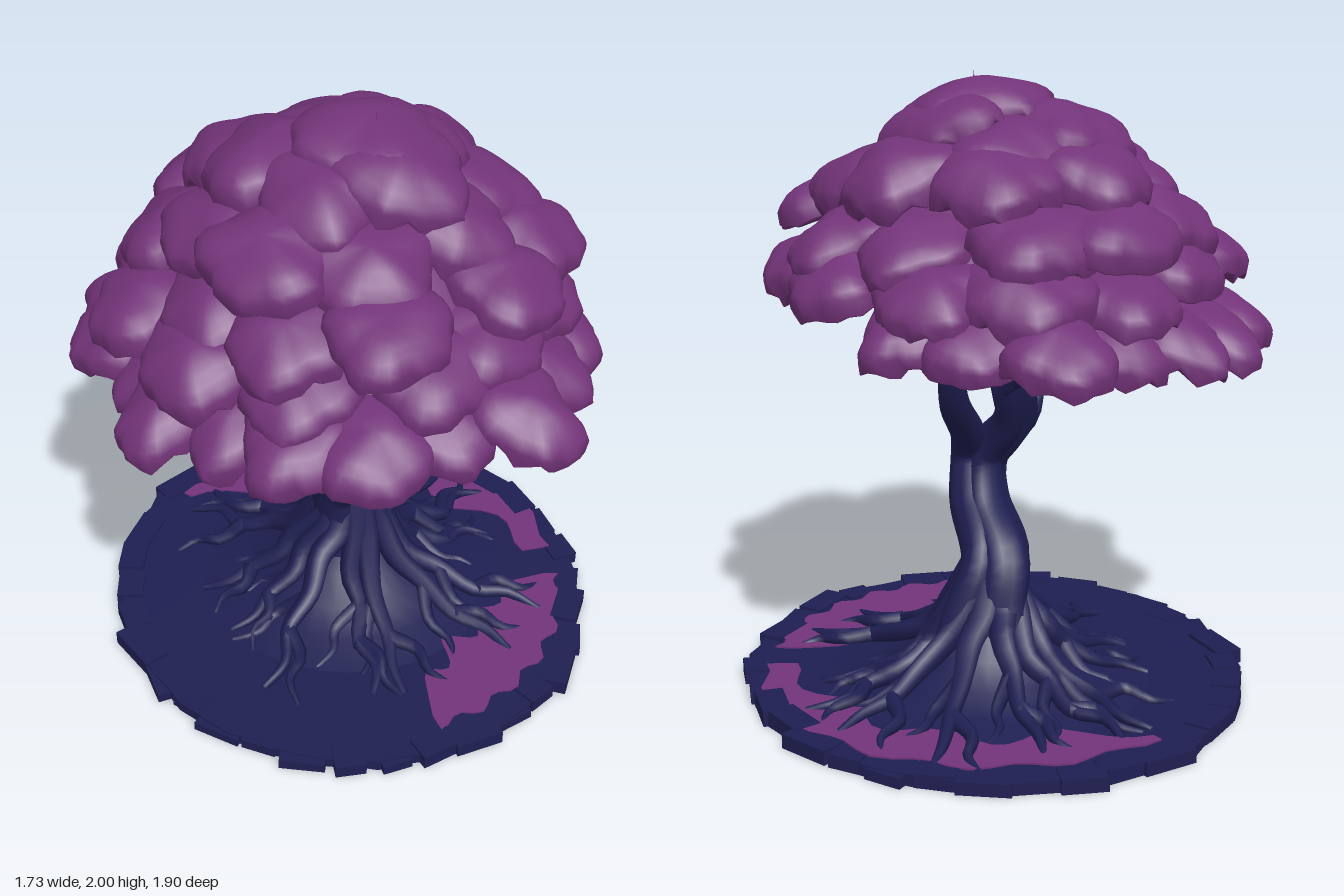
import * as THREE from 'three';
import { mergeVertices } from 'three/addons/utils/BufferGeometryUtils.js';

const bark = new THREE.MeshStandardMaterial({ color: 0x1f1f52, side: THREE.DoubleSide });
bark.name = 'navy bark';
const leaf = new THREE.MeshStandardMaterial({ color: 0x733479, side: THREE.DoubleSide });
leaf.name = 'purple foliage';

let seed = 7;
const rand = (a = 0, b = 1) => {
  seed = (seed * 16807) % 2147483647;
  return a + (b - a) * (seed / 2147483647);
};
const V = (p) => new THREE.Vector3(...p);

function add(parent, geometry, material, name) {
  const mesh = new THREE.Mesh(geometry, material);
  mesh.name = name;
  parent.add(mesh);
  return mesh;
}

function smooth(g) {
  g.deleteAttribute('uv');
  g.deleteAttribute('normal');
  const m = mergeVertices(g, 1e-5);
  m.computeVertexNormals();
  return m;
}

// Tapering limb along a curve, with soft ridges twisting round it
function limb(points, r0, r1, seg = 20, sides = 8, power = 1) {
  const path = new THREE.CatmullRomCurve3(points.map(V), false, 'centripetal');
  const g = new THREE.TubeGeometry(path, seg, 1, sides, false);
  const pos = g.attributes.position, v = new THREE.Vector3();
  for (let i = 0; i <= seg; i++) {
    const c = path.getPointAt(i / seg);
    const r = r0 + (r1 - r0) * Math.pow(i / seg, power);
    for (let j = 0; j <= sides; j++) {
      const k = i * (sides + 1) + j;
      const a = (j / sides) * Math.PI * 2;
      v.fromBufferAttribute(pos, k).sub(c);
      v.multiplyScalar(r * (1 + 0.1 * Math.sin(3 * a + i * 0.25))).add(c);
      pos.setXYZ(k, v.x, v.y, v.z);
    }
  }
  return smooth(g);
}

// Pillow of leaves: domed top, flat underside with a ragged hanging rim
function clumpGeometry(s) {
  const g = new THREE.SphereGeometry(1, 32, 14);
  const p = g.attributes.position;
  for (let i = 0; i < p.count; i++) {
    let x = p.getX(i), y = p.getY(i), z = p.getZ(i);
    const a = Math.atan2(z, x), rim = Math.pow(Math.hypot(x, z), 4);
    const k = 1 + 0.07 * Math.sin(3 * a + s) + 0.05 * Math.sin(5 * a + 2.3 * s) + 0.03 * rim * Math.sin(11 * a + s);
    const bump = 0.09 * Math.sin(4 * x + s) * Math.cos(4 * z + 2 * s);
    if (y < 0.05) y = y * 0.35 - 0.3 * rim * Math.abs(Math.sin(4 * a + s)) - 0.15 * rim * Math.sin(9 * a + s);
    else y += bump;
    p.setXYZ(i, x * k, y, z * k);
  }
  return smooth(g);
}

// Flat outline swept through polar angles (degrees) between two radii
function arcPatch(a0, a1, inner, outer, phase) {
  const pts = [], n = 28;
  const at = (t, r) => {
    const a = THREE.MathUtils.degToRad(a0 + (a1 - a0) * t);
    pts.push(new THREE.Vector2(0.04 + r * Math.cos(a), 0.04 - r * Math.sin(a)));
  };
  for (let i = 0; i <= n; i++) at(i / n, outer + 0.02 * Math.sin(i * 1.3 + phase));
  for (let i = n; i >= 0; i--) {
    const t = i / n, pinch = Math.pow(Math.abs(2 * t - 1), 4);
    at(t, inner + 0.05 * Math.sin(i * 0.8 + phase) + (outer - inner - 0.06) * pinch);
  }
  const g = new THREE.ExtrudeGeometry(new THREE.Shape(pts), { depth: 0.006, bevelEnabled: false });
  return g.rotateX(-Math.PI / 2).translate(0, 0.044, 0);
}

function buildBase() {
  const base = new THREE.Group();
  base.name = 'base';
  // Ground disc with an uneven outline
  const pts = [];
  for (let i = 0; i < 72; i++) {
    const a = (i / 72) * Math.PI * 2, k = 1 + rand(-0.012, 0.012);
    pts.push(new THREE.Vector2(0.04 + 0.8 * k * Math.cos(a), 0.04 + 0.845 * k * Math.sin(a)));
  }
  const disc = new THREE.ExtrudeGeometry(new THREE.Shape(pts), { depth: 0.038, bevelEnabled: false });
  add(base, disc.rotateX(-Math.PI / 2), bark, 'groundDisc');
  // Broken slabs round the rim
  for (let i = 0; i < 34; i++) {
    const a = (i / 34) * Math.PI * 2, h = rand(0.03, 0.052), k = rand(0.95, 0.99);
    const slab = add(base, new THREE.BoxGeometry(rand(0.1, 0.19), h, 0.09), bark, 'rimSlab');
    slab.position.set(0.04 + 0.79 * k * Math.cos(a), h / 2, -0.04 + 0.845 * k * Math.sin(a));
    slab.rotation.y = Math.PI / 2 - a + rand(-0.25, 0.25);
  }
  // Patches of fallen leaves
  add(base, arcPatch(-108, 22, 0.57, 0.76, 1), leaf, 'leafPatch');
  add(base, arcPatch(33, 102, 0.48, 0.75, 3), leaf, 'leafPatch');
  return base;
}

function buildRoots() {
  const roots = new THREE.Group();
  roots.name = 'roots';
  const flare = [[0.55, 0.035], [0.4, 0.06], [0.29, 0.1], [0.2, 0.17], [0.12, 0.27], [0.05, 0.38]];
  const mound = new THREE.LatheGeometry(flare.map((p) => new THREE.Vector2(...p)), 32);
  add(roots, mound.translate(0.09, 0, -0.11), bark, 'rootMound');
  const n = 14;
  for (let i = 0; i < n; i++) {
    const a = (i / n) * Math.PI * 2 + rand(-0.12, 0.12);
    const len = rand(0.85, 1.08), bend = rand(-0.4, 0.4), lift = rand(0.8, 1.15);
    const at = (r, y, turn) => [
      0.09 + r * Math.cos(a + turn), y, -0.11 + r * Math.sin(a + turn) * 1.18];
    const mid = at(0.28 * len, 0.15 * lift, bend * 0.3);
    const knee = at(0.4 * len, 0.09 * lift, bend * 0.1);
    add(roots, limb([at(0.04, 0.42, -0.5), at(0.11, 0.3, -0.2), at(0.19, 0.215 * lift, 0), mid, knee,
      at(0.5 * len, 0.065, bend * 0.4), at(0.6 * len, 0.04, bend * 0.25)], 0.055, 0.012), bark, 'root');
    // Forks running off each root
    for (const side of [-1, 1]) {
      const start = side === 1 ? mid : knee, r = side === 1 ? 0.36 : 0.46;
      add(roots, limb([start, at(r * len, 0.075, side * 0.18), at((r + 0.08) * len, 0.055, side * 0.17),
        at((r + 0.15) * len, 0.035, side * 0.26)], 0.03, 0.008, 10, 6), bark, 'rootFork');
    }
  }
  return roots;
}

function buildTrunk() {
  const trunk = new THREE.Group();
  trunk.name = 'trunk';
  // Three strands bundled round a winding centre line, each ending as a main branch
  const centre = [[0.11, 0.1, -0.12], [0.1, 0.3, -0.13], [0.06, 0.45, -0.12], [0.05, 0.6, 0.03], [0.02, 0.74, 0.09]];
  const spread = [0.13, 0.075, 0.05, 0.035, 0.04];
  const strand = (angle, tail) => {
    const stem = centre.map(([x, y, z], i) => {
      const a = angle + (i - 4) * 0.12;
      return [x + spread[i] * Math.cos(a), y, z + spread[i] * Math.sin(a)];
    });
    add(trunk, limb([...stem, ...tail], 0.083, 0.018, 48, 12, 1.3), bark, 'trunkStrand');
  };
  strand(2.8, [[-0.11, 0.88, 0.03], [-0.14, 0.98, 0.08], [-0.13, 1.02, 0.21], [-0.13, 1.1, 0.31], [-0.12, 1.2, 0.38], [-0.1, 1.27, 0.6]]);
  strand(0.2, [[0.1, 0.85, 0.03], [0.19, 0.98, -0.07], [0.24, 1.15, -0.14], [0.4, 1.32, -0.2], [0.58, 1.42, -0.2]]);
  strand(-1.5, [[-0.01, 0.88, -0.06], [0.01, 1, -0.13], [0.01, 1.15, -0.17], [0.06, 1.35, -0.2], [0.08, 1.6, -0.15]]);

  // Long side branches leaving above the split
  const branch = (r, pts) => add(trunk, limb(pts, r, 0.013, 32, 10, 1.3), bark, 'branch');
  branch(0.072, [[0.01, 0.74, 0.09], [-0.06, 0.88, 0], [-0.04, 1, -0.07], [-0.06, 1.14, -0.09], [-0.32, 1.45, -0.1]]);
  branch(0.05, [[0, 0.95, -0.1], [0.03, 1.08, -0.07], [0.05, 1.18, 0.06], [0.03, 1.26, 0.25], [0.12, 1.29, 0.62]]);
  branch(0.042, [[0.04, 1.03, -0.13], [0, 1.13, -0.24], [-0.05, 1.17, -0.38], [0.05, 1.27, -0.68]]);
  branch(0.045, [[-0.13, 1.05, 0.25], [-0.17, 1.15, 0.28], [-0.34, 1.21, 0.21], [-0.66, 1.2, 0.12]]);

  // Winding boughs from points along the branches out to the foliage
  const forks = [[-0.13, 1.16, 0.35], [0.25, 1.18, -0.145], [0.01, 1.15, -0.17], [-0.14, 1.26, -0.1],
    [0.05, 1.32, -0.195], [0.03, 1.26, 0.25], [-0.05, 1.17, -0.38], [-0.34, 1.21, 0.21]].map(V);
  for (let i = 0; i < 18; i++) {
    const a = (i / 18) * Math.PI * 2, high = i % 3 === 0, right = Math.cos(a) > 0.7;
    const r = high ? 0.36 : 0.64;
    const y = high ? 1.58 : right ? 1.4 : rand(1.22, 1.3);
    const end = V([r * Math.cos(a), y, r * Math.sin(a)]);
    const fork = forks.sort((p, q) => p.distanceTo(end) - q.distanceTo(end))[0];
    const side = new THREE.Vector3(-Math.sin(a), 0, Math.cos(a));
    const mid = (t, sway) =>
      fork.clone().lerp(end, t).addScaledVector(side, sway).add(V([0, 0.02, 0])).toArray();
    const sway = rand(0.03, 0.07) * (i % 2 ? 1 : -1);
    const knee = mid(0.6, -sway * 0.7);
    add(trunk, limb([fork.toArray(), mid(0.3, sway), knee, end.toArray()], 0.028, 0.009, 14, 6), bark, 'bough');
    const tip = end.clone().addScaledVector(side, i % 2 ? 0.13 : -0.13).add(V([0, 0.04, 0]));
    add(trunk, limb([knee, tip.clone().lerp(V(knee), 0.5).toArray(), tip.toArray()], 0.016, 0.006, 6, 5), bark, 'twig');
  }
  return trunk;
}

function buildCanopy() {
  const canopy = new THREE.Group();
  canopy.name = 'canopy';
  // Hollow underside of the crown
  const dome = [[0.001, 1.86], [0.2, 1.79], [0.38, 1.65], [0.52, 1.5], [0.6, 1.4]];
  add(canopy, new THREE.LatheGeometry(dome.map((p) => new THREE.Vector2(...p)), 32), leaf, 'innerFoliage');

  const shapes = [0.4, 1.7, 2.9, 4.1, 5.3].map(clumpGeometry);
  let count = 0;
  const clump = (a, r, y, w, h, d, tilt) => {
    const m = add(canopy, shapes[count++ % shapes.length], leaf, 'leafClump');
    m.position.set(r * Math.cos(a), y, r * Math.sin(a));
    m.rotation.set(tilt, Math.PI / 2 - a, 0, 'YXZ');
    m.scale.set(w, h, d);
  };
  clump(0.8, 0.07, 1.87, 0.23, 0.11, 0.24, 0.1);
  // Overlapping tiers: radius, height, count, size, tilt
  const tiers = [[0.2, 1.81, 5, 0.21, 0.34], [0.38, 1.68, 8, 0.2, 0.38], [0.51, 1.54, 10, 0.195, 0.36], [0.59, 1.4, 12, 0.19, 0.3]];
  tiers.forEach(([r, y, n, size, tilt], t) => {
    for (let i = 0; i < n; i++) {
      const a = ((i + t * 0.5) / n) * Math.PI * 2 + rand(-0.1, 0.1);
      clump(a, r + rand(-0.04, 0.04), y + rand(-0.035, 0.035), size * rand(0.9, 1.12), rand(0.085, 0.11),
        size, tilt + rand(-0.08, 0.08));
    }
  });
  // Lowest fringe of uneven reach, open on one side and drooping on the other
  const tips = [0.8, 0.82, 0.95, 0.83, 0.88, 0.86, 0.8, 0.88, 0.78, 0.88, 0.87, 0.86, 0.8, 0.96, 0.84, 0.8];
  tips.forEach((tip, i) => {
    const a = THREE.MathUtils.degToRad(47 + 18 * i);
    const y = 1.3 - 0.07 * Math.max(0, Math.cos(a - 3.5)) + rand(-0.02, 0.02);
    clump(a, tip - 0.19, y, rand(0.15, 0.18), 0.095, 0.2, 0.34);
  });
  // Small shoot at the crown
  const shoot = add(canopy, new THREE.ConeGeometry(0.006, 0.06, 5), leaf, 'topShoot');
  shoot.position.set(0.05, 1.97, 0.08);
  return canopy;
}

export function createModel() {
  seed = 7;
  const tree = new THREE.Group();
  tree.name = 'tree';
  tree.add(buildBase(), buildRoots(), buildTrunk(), buildCanopy());
  return tree;
}
